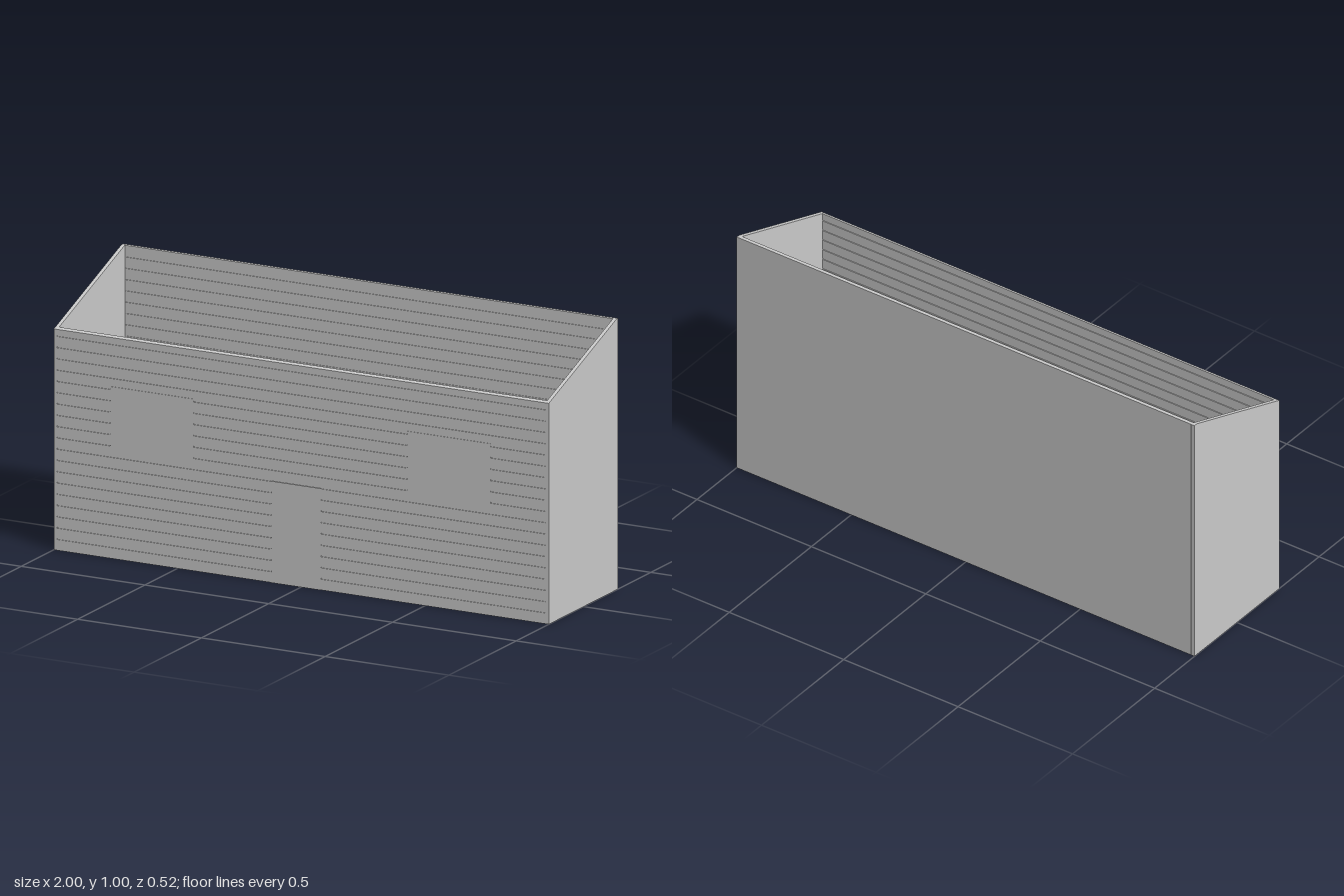
import * as THREE from 'three';

const WALL = 0.014, Z_FRONT = 0.258, Z_BACK = -0.258;
const PITCH = 1 / 24, GROOVE = 0.004, DEPTH = 0.003;

// Height of the sloping wall top at depth z, level over the back wall
const topAt = (z) => Math.min(1, 0.816 + (Z_FRONT - z) * 0.184 / (Z_FRONT - Z_BACK - WALL));

// Extrude a (z, y) outline along x, centred on cx
function extrudeAlongX(points, length, cx) {
  const shape = new THREE.Shape(points.map(([z, y]) => new THREE.Vector2(z, y)));
  const geo = new THREE.ExtrudeGeometry(shape, { depth: length, bevelEnabled: false });
  geo.rotateY(-Math.PI / 2);
  geo.translate(cx + length / 2, 0, 0);
  return geo;
}

// One face of a wall, bottom to top, with evenly spaced board grooves
function boardedEdge(z, inward, grooved) {
  const pts = [[z, 0]];
  const top = topAt(z);
  for (let y = PITCH; grooved && y < top - 0.01; y += PITCH) {
    const a = y - GROOVE / 2, b = y + GROOVE / 2, d = z + inward * DEPTH;
    pts.push([z, a], [d, a], [d, b], [z, b]);
  }
  pts.push([z, top]);
  return pts;
}

function wallProfile(z0, z1, grooveInnerBack, grooveFront) {
  return [
    ...boardedEdge(z1, -1, grooveFront),
    ...boardedEdge(z0, 1, grooveInnerBack).reverse(),
  ];
}

export function createModel() {
  const model = new THREE.Group();
  model.name = 'shedWalls';
  const grey = new THREE.MeshStandardMaterial({ color: 0xcccccc });
  grey.name = 'plainGrey';

  const add = (name, geo) => {
    const mesh = new THREE.Mesh(geo, grey);
    mesh.name = name;
    model.add(mesh);
    return mesh;
  };

  // Boarded walls between the two sides
  const span = 2 - 2 * WALL;
  add('frontWall', extrudeAlongX(wallProfile(Z_FRONT - WALL, Z_FRONT, true, true), span, 0));
  add('backWall', extrudeAlongX(wallProfile(Z_BACK, Z_BACK + WALL, false, true), span, 0));

  // Plain side walls with a sloping top
  const side = [
    [Z_BACK, 0], [Z_FRONT, 0], [Z_FRONT, topAt(Z_FRONT)],
    [Z_BACK + WALL, 1], [Z_BACK, 1],
  ];
  add('leftWall', extrudeAlongX(side, WALL, 1 - WALL / 2));
  add('rightWall', extrudeAlongX(side, WALL, -1 + WALL / 2));

  // Smooth, slightly raised door and window panels
  const panels = [
    ['door', -0.12, 0.08, 0, 0.375],
    ['rightWindow', -0.77, -0.435, 0.4, 0.635],
    ['leftWindow', 0.43, 0.765, 0.4, 0.635],
  ];
  for (const [name, x0, x1, y0, y1] of panels) {
    add(name, new THREE.BoxGeometry(x1 - x0, y1 - y0, 0.004))
      .position.set((x0 + x1) / 2, (y0 + y1) / 2, Z_FRONT);
  }
  return model;
}
